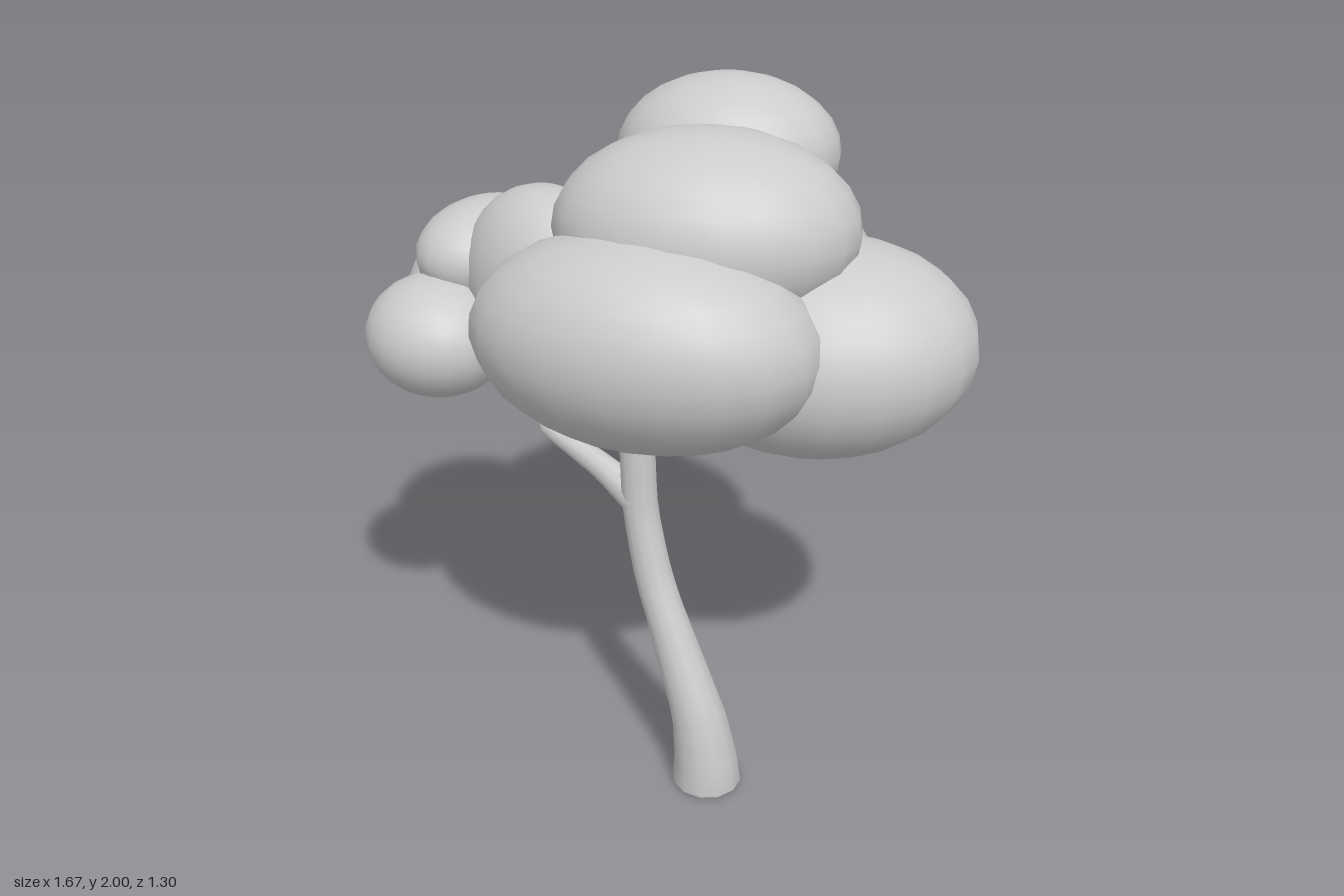
import * as THREE from 'three';

const material = new THREE.MeshStandardMaterial({ color: 0xcccccc });

function addMesh(parent, name, geometry) {
  const mesh = new THREE.Mesh(geometry, material);
  mesh.name = name;
  parent.add(mesh);
  return mesh;
}

// Ellipsoid from its centre, half extents and lean (xy, xz and yz correlation)
function puff(center, [hx, hy, hz], [xy, xz, yz]) {
  const yy = Math.sqrt(1 - xy * xy);
  const zy = (yz - xy * xz) / yy;
  const zz = Math.sqrt(1 - xz * xz - zy * zy);
  const shape = new THREE.Matrix4().set(
    hx, 0, 0, center[0],
    hy * xy, hy * yy, 0, center[1],
    hz * xz, hz * zy, hz * zz, center[2],
    0, 0, 0, 1
  );
  return new THREE.SphereGeometry(1, 20, 14).applyMatrix4(shape);
}

// Tube along points whose radius follows evenly spaced values
function limb(points, radii, rings, sides) {
  const path = points.map((p) => new THREE.Vector3(...p));
  const curve = new THREE.CatmullRomCurve3(path, false, 'catmullrom', 0.3);
  const geometry = new THREE.TubeGeometry(curve, rings, 1, sides);
  const pos = geometry.attributes.position;
  const v = new THREE.Vector3();
  for (let i = 0; i < pos.count; i++) {
    const u = Math.floor(i / (sides + 1)) / rings;
    const t = u * (radii.length - 1);
    const k = Math.min(Math.floor(t), radii.length - 2);
    const radius = THREE.MathUtils.lerp(radii[k], radii[k + 1], t - k);
    const c = curve.getPointAt(u);
    v.fromBufferAttribute(pos, i).sub(c).multiplyScalar(radius).add(c);
    pos.setXYZ(i, v.x, v.y, v.z);
  }
  return geometry;
}

export function createModel() {
  const tree = new THREE.Group();
  tree.name = 'tree';

  // Leaning trunk, flared at the foot
  addMesh(tree, 'trunk', limb(
    [[0.317, 0.012, 0.2], [0.317, 0.05, 0.2], [0.283, 0.22, 0.2], [0.197, 0.42, 0.2],
      [0.107, 0.63, 0.2], [0.055, 0.85, 0.2], [0.043, 1.12, 0.2], [0.035, 1.35, 0.2]],
    [0.103, 0.075, 0.058, 0.053, 0.052, 0.047], 20, 12));
  const base = addMesh(tree, 'trunkBase', new THREE.CylinderGeometry(0.102, 0.094, 0.014, 12));
  base.position.set(0.317, 0.007, 0.2);

  // Side branch bending up into the small puffs
  addMesh(tree, 'branch', limb(
    [[0.06, 0.87, 0.2], [-0.1, 0.925, 0.2], [-0.27, 0.968, 0.2], [-0.318, 0.985, 0.2],
      [-0.333, 1.03, 0.2], [-0.338, 1.15, 0.2], [-0.34, 1.3, 0.2]],
    [0.056, 0.04, 0.034, 0.03, 0.028, 0.027], 22, 10));

  // Foliage puffs: name, centre, half extents, lean
  const foliage = new THREE.Group();
  foliage.name = 'foliage';
  tree.add(foliage);
  const puffs = [
    ['frontPuff', [0.155, 1.422, 0.285], [0.48, 0.308, 0.363], [0.06, -0.21, 0.1]],
    ['upperPuff', [0.17, 1.68, 0.055], [0.388, 0.265, 0.347], [0, -0.25, 0]],
    ['topPuff', [-0.02, 1.78, -0.26], [0.3, 0.22, 0.272], [0, -0.22, 0]],
    ['leftPuff', [0.42, 1.352, -0.13], [0.415, 0.3, 0.375], [0.05, -0.17, -0.04]],
    ['backPuff', [-0.1, 1.41, -0.27], [0.484, 0.3, 0.386], [0, -0.28, 0]],
    ['innerPuff', [-0.27, 1.46, 0.215], [0.285, 0.275, 0.2], [0, 0, 0]],
    ['rightPuff', [-0.58, 1.34, 0.13], [0.257, 0.21, 0.287], [0, 0, 0]],
    ['rightFrontPuff', [-0.523, 1.29, 0.42], [0.215, 0.177, 0.207], [0, 0, 0]],
    ['rightTopPuff', [-0.535, 1.49, 0.2], [0.182, 0.15, 0.235], [0, 0, 0]],
  ];
  for (const [name, center, size, lean] of puffs) {
    addMesh(foliage, name, puff(center, size, lean));
  }
  return tree;
}
